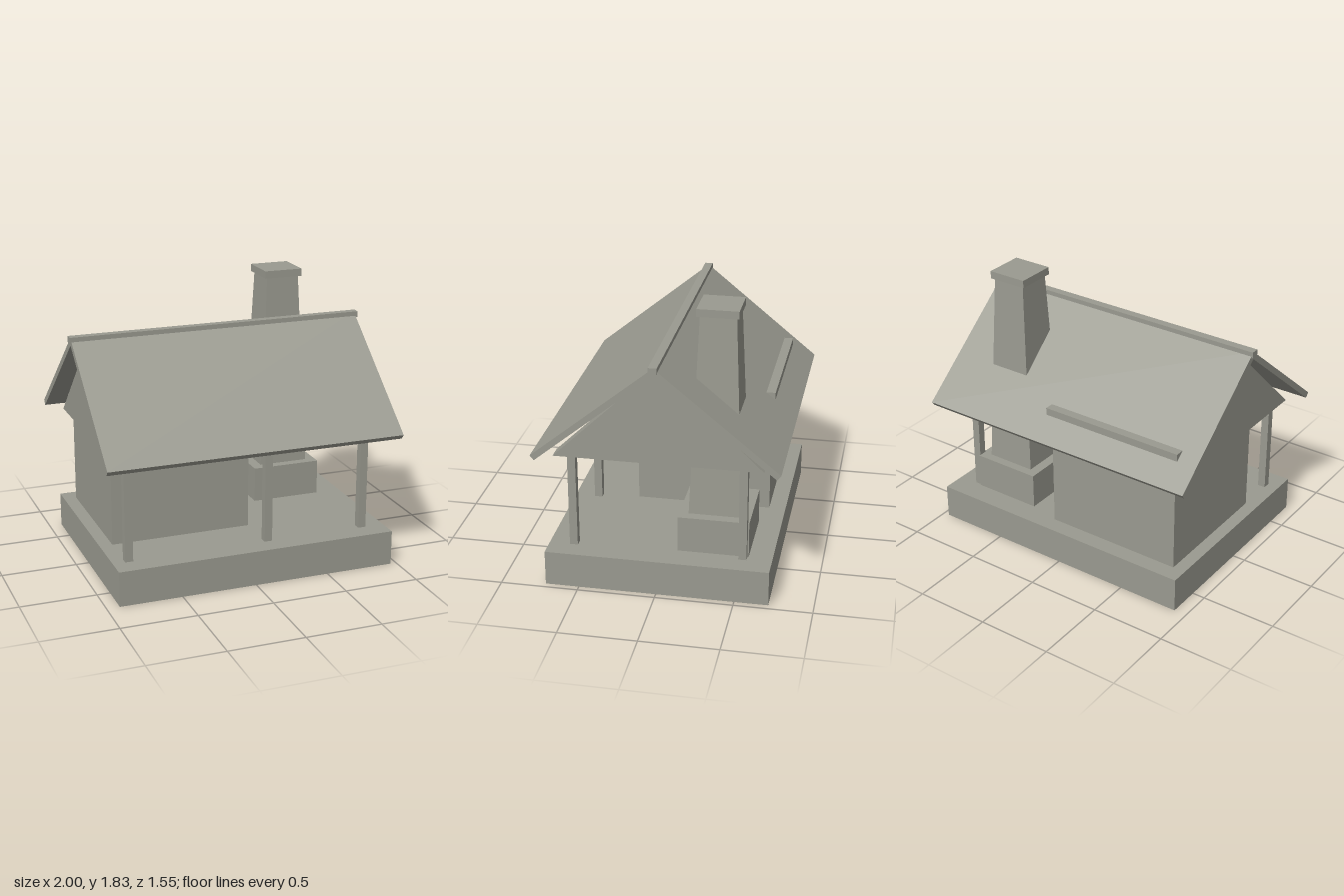
import * as THREE from 'three';

export function createModel() {
  const model = new THREE.Group();
  const stone = new THREE.MeshStandardMaterial({ color: 0x9a9a90 });
  stone.name = 'warm grey';

  const add = (name, geometry) => {
    const mesh = new THREE.Mesh(geometry, stone);
    mesh.name = name;
    model.add(mesh);
    return mesh;
  };

  // Box given by its lower and upper corner
  const box = (name, [x0, y0, z0], [x1, y1, z1]) => {
    const g = new THREE.BoxGeometry(x1 - x0, y1 - y0, z1 - z0);
    g.translate((x0 + x1) / 2, (y0 + y1) / 2, (z0 + z1) / 2);
    return add(name, g);
  };

  // Prism along x from a [z, y] outline
  const prism = (name, outline, x0, x1) => {
    const shape = new THREE.Shape(outline.map(([z, y]) => new THREE.Vector2(-z, y)));
    const g = new THREE.ExtrudeGeometry(shape, { depth: x1 - x0, bevelEnabled: false });
    g.rotateY(Math.PI / 2);
    g.translate(x0, 0, 0);
    return add(name, g);
  };

  // Plinth
  box('plinth', [-0.915, 0, -0.717], [0.96, 0.232, 0.717]);

  // Enclosed room and the wider wall band above it
  box('roomWalls', [-0.83, 0.232, -0.608], [0.11, 0.86, 0.285]);
  box('upperWallBand', [-0.855, 0.86, -0.632], [0.135, 1.085, 0.31]);

  // Porch posts
  for (const [x, z] of [[-0.808, 0.558], [0.134, 0.558], [0.805, 0.558], [0.805, -0.531]]) {
    box('porchPost', [x - 0.026, 0.232, z - 0.026], [x + 0.026, 0.89, z + 0.026]);
  }

  // Gable ends
  const gable = [[0.662, 0.876], [0, 1.51], [-0.662, 0.876]];
  prism('rightGable', gable, 0.78, 0.88);
  prism('leftGable', gable, -0.885, -0.785);

  // Two roof slopes and the ridge beam
  for (const s of [1, -1]) {
    prism(s > 0 ? 'frontRoof' : 'backRoof',
      [[0, 1.552], [s * 0.777, 0.918], [s * 0.752, 0.887], [0, 1.502]], -0.99, 0.985);
  }
  box('ridgeBeam', [-1, 1.52, -0.027], [1, 1.56, 0.027]);

  // Chimney: hearth block, tapered stack, cap
  box('hearthBlock', [0.317, 0.232, -0.565], [0.788, 0.47, -0.108]);
  const stack = new THREE.BoxGeometry(1, 1.31, 1);
  const p = stack.attributes.position;
  for (let i = 0; i < p.count; i++) {
    const width = p.getY(i) > 0 ? 0.226 : 0.338;
    p.setX(i, p.getX(i) * width);
    p.setZ(i, p.getZ(i) * width);
  }
  stack.computeVertexNormals();
  stack.translate(0.553, 1.125, -0.337);
  add('chimneyStack', stack);
  box('chimneyCap', [0.421, 1.78, -0.467], [0.685, 1.83, -0.205]);

  return model;
}
